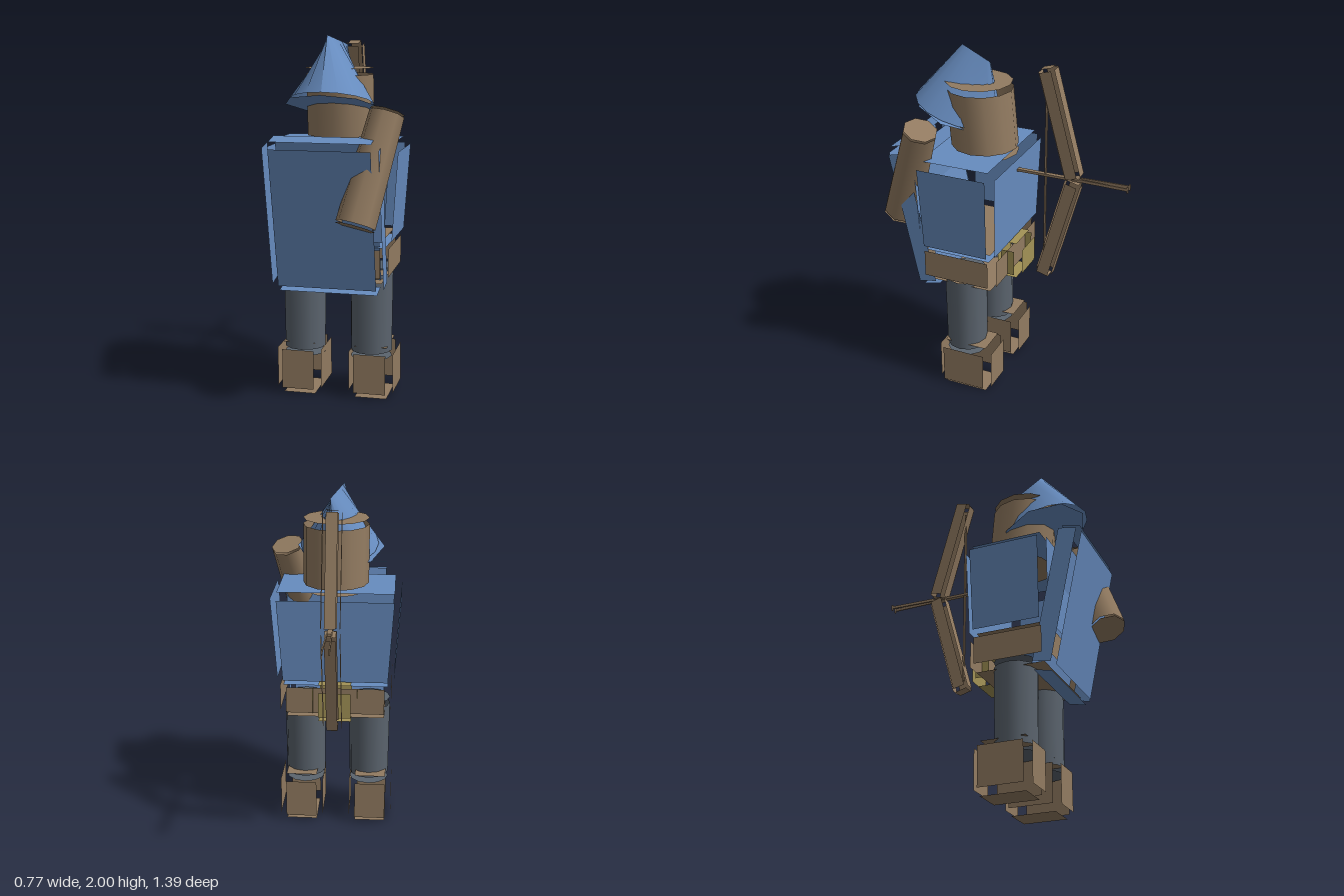
import * as THREE from 'three';

const mat = (name, color) => new THREE.MeshStandardMaterial({ name, color, side: THREE.DoubleSide });

// Push flat faces outward along their normals, leaving open seams at the edges.
function openSeams(geo, gap, capsOnly = false) {
  const p = geo.attributes.position, n = geo.attributes.normal;
  const [gx, gy, gz] = Array.isArray(gap) ? gap : [gap, gap, gap];
  for (let i = 0; i < p.count; i++) {
    if (capsOnly && Math.abs(n.getY(i)) < 0.9) continue;
    p.setXYZ(i, p.getX(i) + n.getX(i) * gx, p.getY(i) + n.getY(i) * gy, p.getZ(i) + n.getZ(i) * gz);
  }
  return geo;
}

const panelBox = (w, h, d, gap) => openSeams(new THREE.BoxGeometry(w, h, d), gap);

export function createModel() {
  const blue = mat('blue cloth', 0x678cbf);
  const brown = mat('brown leather', 0x927b61);
  const grey = mat('grey trousers', 0x5b646e);
  const yellow = mat('yellow buckle', 0xa39356);
  const model = new THREE.Group();
  model.name = 'archer';
  const cx = -0.017; // middle of the body

  function add(name, geo, material, x = 0, y = 0, z = 0) {
    const m = new THREE.Mesh(geo, material);
    m.name = name;
    m.position.set(x, y, z);
    model.add(m);
    return m;
  }

  // Boots and legs
  for (const s of [-1, 1]) {
    const side = s > 0 ? 'left' : 'right';
    add(side + 'Boot', panelBox(0.18, 0.225, 0.255, 0.035), brown, cx + s * 0.204, 0.1475, 0.158);
    const leg = openSeams(new THREE.CylinderGeometry(0.121, 0.116, 0.45, 12), 0.035, true);
    add(side + 'Leg', leg, grey, cx + s * 0.191, 0.485, 0.193);
  }

  // Belt and buckle
  add('belt', panelBox(0.565, 0.155, 0.39, 0.037), brown, cx, 0.802, 0.195);
  add('buckle', panelBox(0.185, 0.15, 0.08, 0.035), yellow, cx, 0.803, -0.037);

  // Torso, narrower at the bottom
  const torso = panelBox(0.66, 0.48, 0.405, 0.038);
  const tp = torso.attributes.position;
  for (let i = 0; i < tp.count; i++) {
    if (tp.getY(i) < 0) {
      tp.setX(i, tp.getX(i) * 0.91);
      tp.setZ(i, tp.getZ(i) * 0.95);
    }
  }
  torso.computeVertexNormals();
  add('torso', torso, blue, cx, 1.16, 0.192);

  // Slanting slab against the front of the torso
  add('slab', panelBox(0.54, 0.78, 0.105, [0.037, 0.035, 0.017]), blue, -0.02, 1.058, 0.466)
    .rotation.x = 0.212;

  // Single arm, reaching down and across
  const top = new THREE.Vector3(0.29, 1.6, 0.395), hand = new THREE.Vector3(0.168, 1.045, 0.592);
  const axis = top.clone().sub(hand);
  const arm = add('leftArm',
    openSeams(new THREE.CylinderGeometry(0.095, 0.108, axis.length(), 8), 0.012, true), brown);
  arm.position.copy(top).add(hand).multiplyScalar(0.5);
  arm.quaternion.setFromUnitVectors(new THREE.Vector3(0, 1, 0), axis.normalize());

  // Head, sheared so that its top sits further forward
  const head = openSeams(new THREE.CylinderGeometry(0.187, 0.187, 0.33, 12), 0.034, true);
  head.applyMatrix4(new THREE.Matrix4().set(1, 0, 0, 0, 0, 1, 0, 0, 0, 0.09, 1, 0, 0, 0, 0, 1));
  add('head', head, brown, -0.01, 1.625, 0.165);

  // Hat: a tilted round brim drawn up to a short ridge
  const N = 16, pos = [], idx = [];
  for (let i = 0; i <= N; i++) {
    const a = (i / N) * Math.PI * 2, t = (Math.cos(a) + 1) / 2;
    const z = Math.cos(a) * 0.243;
    pos.push(-0.02 + Math.sin(a) * 0.225, 1.647 + z * 0.29, 0.312 + z);
    pos.push(0.02 - 0.07 * t, 1.945 + 0.055 * t, 0.1 + 0.2 * t);
    if (i < N) {
      const k = i * 2;
      idx.push(k, k + 2, k + 1, k + 1, k + 2, k + 3);
    }
  }
  const hat = new THREE.BufferGeometry();
  hat.setAttribute('position', new THREE.Float32BufferAttribute(pos, 3));
  hat.setIndex(idx);
  hat.computeVertexNormals();
  add('hat', hat, blue);
  const brim = new THREE.CircleGeometry(0.25, 8);
  brim.rotateX(Math.PI / 2);
  add('hatBrim', brim, blue, -0.03, 1.632, 0.305).rotation.x = -0.283;

  // Bow limbs, mirrored above and below the grip
  for (const s of [-1, 1]) {
    const limb = add(s > 0 ? 'upperBowLimb' : 'lowerBowLimb',
      panelBox(0.062, 0.605, 0.068, [0.02, 0.012, 0.012]), brown, -0.015, 1.335 + s * 0.312, -0.298);
    limb.rotation.x = s * 0.268;
  }
  add('bowString', new THREE.BoxGeometry(0.012, 1.1, 0.01), brown, -0.015, 1.335, -0.212);

  // Arrow: a shaft that splits into two thin strips
  add('arrowShaft', new THREE.BoxGeometry(0.026, 0.014, 0.39), brown, -0.013, 1.335, -0.225);
  for (const s of [-1, 1]) {
    add('arrowStrip', new THREE.BoxGeometry(0.007, 0.016, 0.28), brown, -0.013 + s * 0.016, 1.339, -0.553)
      .rotation.y = -s * 0.025;
    add('arrowTip', new THREE.BoxGeometry(0.007, 0.034, 0.01), brown, -0.013 + s * 0.019, 1.338, -0.689);
  }
  return model;
}
